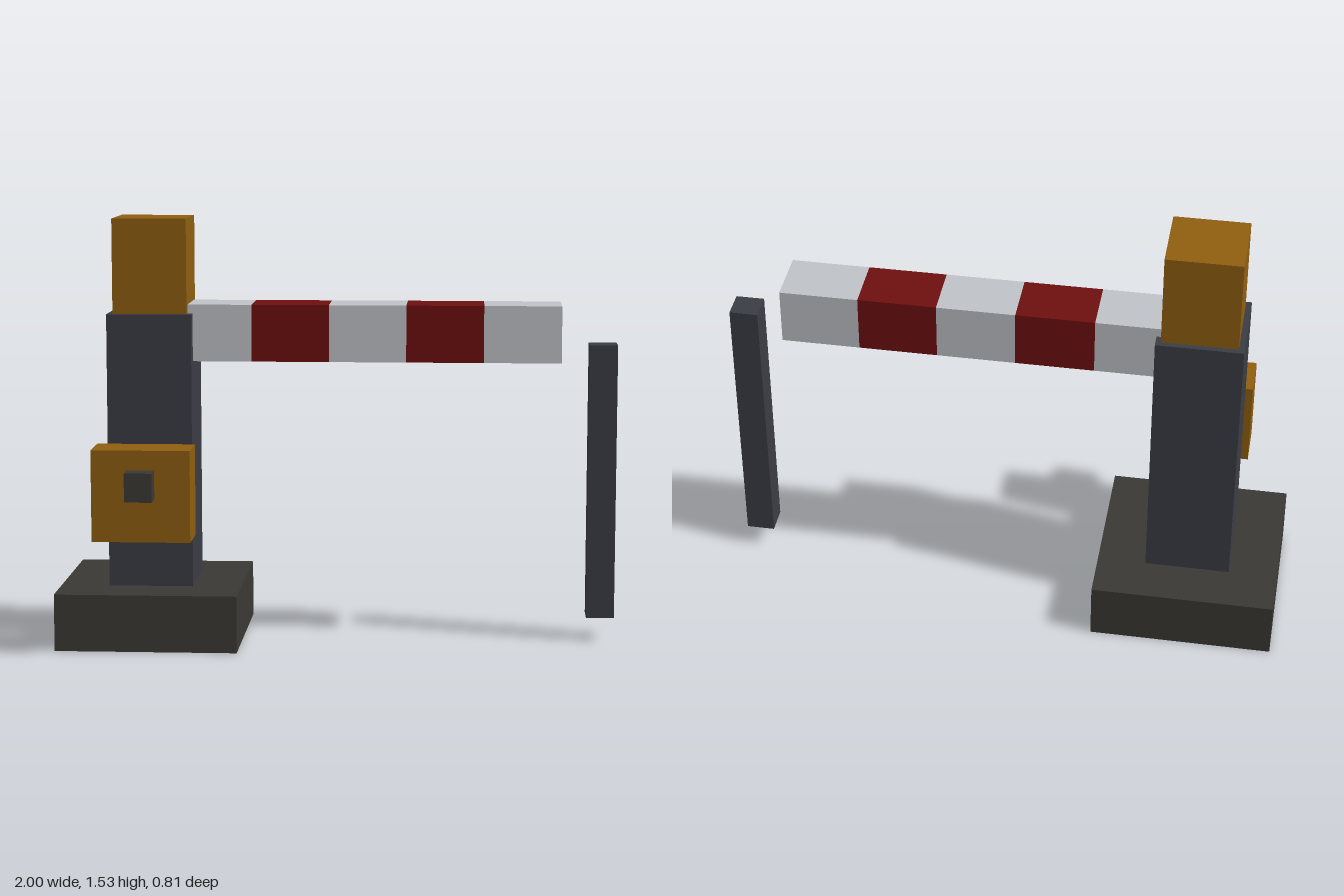
import * as THREE from 'three';

const material = (color) => new THREE.MeshStandardMaterial({ color, flatShading: true });

export function createModel() {
  const group = new THREE.Group();
  const stone = material(0x3b3934);
  const steel = material(0x3b3d45);
  const amber = material(0x8f5f10);
  const white = material(0xc0c3c8);
  const red = material(0x6e0f0f);

  // Box given by its extents along each axis
  function box(name, mat, [x0, x1], [y0, y1], [z0, z1]) {
    const mesh = new THREE.Mesh(new THREE.BoxGeometry(x1 - x0, y1 - y0, z1 - z0), mat);
    mesh.position.set((x0 + x1) / 2, (y0 + y1) / 2, (z0 + z1) / 2);
    mesh.name = name;
    group.add(mesh);
  }

  // Footing, post and warning lamp housing
  box('base', stone, [-1, -0.348], [0, 0.205], [-0.404, 0.25]);
  box('post', steel, [-0.826, -0.522], [0.205, 1.19], [-0.229, 0.076]);
  box('lampHousing', amber, [-0.806, -0.54], [1.19, 1.53], [-0.208, 0.056]);

  // Control box with its knob
  box('controlBox', amber, [-0.848, -0.5], [0.413, 0.738], [0.172, 0.335]);
  box('controlKnob', stone, [-0.722, -0.625], [0.566, 0.668], [0.335, 0.404]);

  // Barrier arm made of five alternating segments
  const start = -0.587, length = 0.277;
  for (let i = 0; i < 5; i++) {
    const x = start + i * length;
    box(`armSegment${i + 1}`, i % 2 ? red : white, [x, x + length], [1.018, 1.222], [-0.178, 0.025]);
  }

  // Rest post at the free end of the arm
  box('restPost', steel, [0.899, 1], [0.084, 1.078], [-0.127, -0.026]);

  return group;
}
